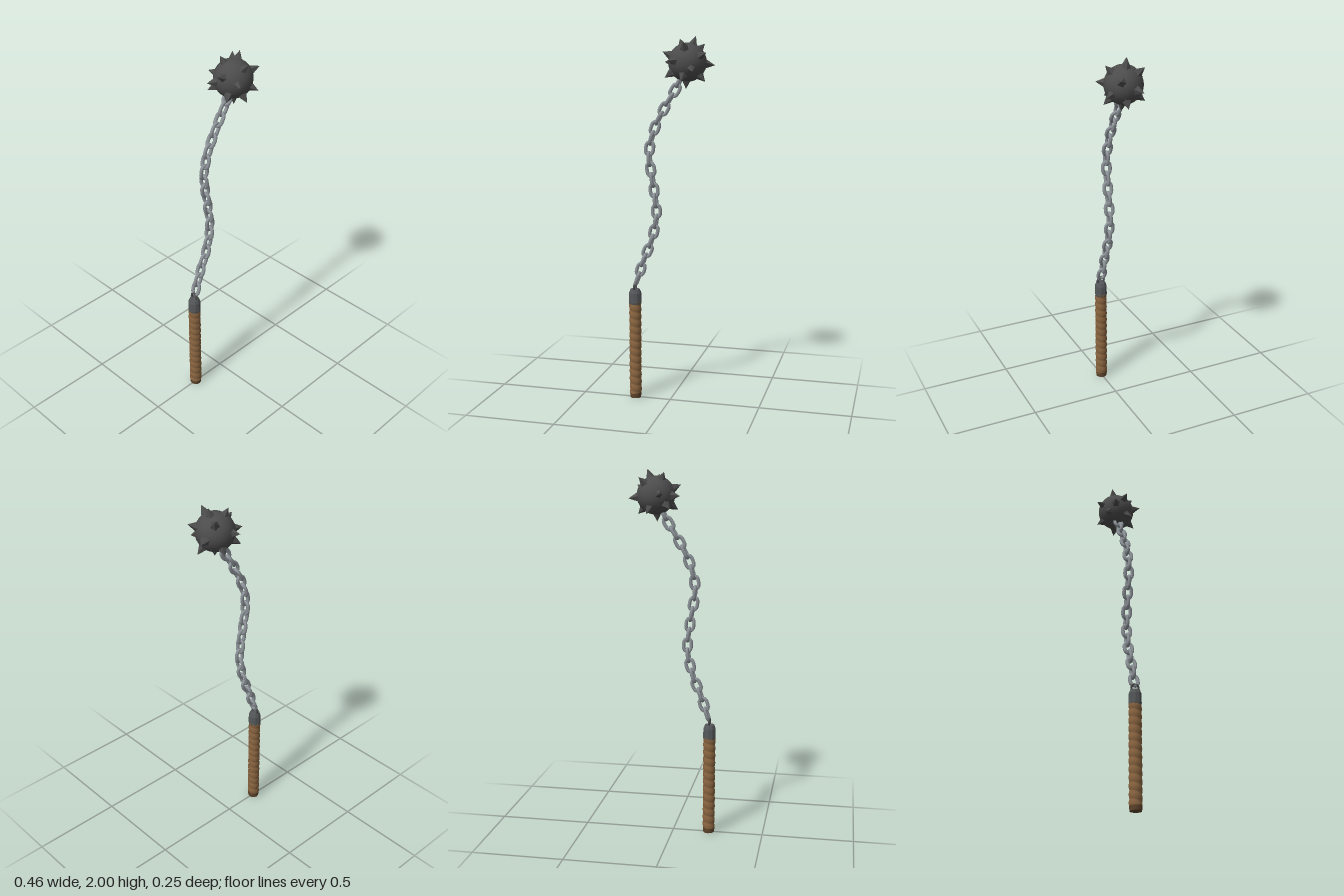
import * as THREE from 'three';

const mat = (color, flatShading = false) => new THREE.MeshStandardMaterial({ color, flatShading });
const wood = mat(0x8a6540), darkWood = mat(0x5f452d);
const iron = mat(0x4c4c4c), spikeIron = mat(0x4c4c4c, true), capIron = mat(0x55585a, true), steel = mat(0x8f959b);

function add(parent, name, geometry, material, x = 0, y = 0, z = 0) {
  const mesh = new THREE.Mesh(geometry, material);
  mesh.name = name;
  mesh.position.set(x, y, z);
  parent.add(mesh);
  return mesh;
}

// Oval chain link lying in the local XY plane, long axis along y
class OvalPath extends THREE.Curve {
  getPoint(t, target = new THREE.Vector3()) {
    const a = t * Math.PI * 2, r = 0.021;
    return target.set(Math.cos(a) * r, Math.sin(a) * r + 0.014 * Math.tanh(3 * Math.sin(a)), 0);
  }
}

// Grip with a wrapped strip winding up it as a helical ridge
function gripGeometry(height, pitch) {
  const g = new THREE.CylinderGeometry(0.031, 0.031, height, 20, 130, true);
  const p = g.attributes.position;
  for (let i = 0; i < p.count; i++) {
    const x = p.getX(i), y = p.getY(i), z = p.getZ(i);
    const turn = y / pitch + Math.atan2(x, z) / (Math.PI * 2);
    const f = turn - Math.floor(turn);
    const s = (0.0295 + 0.0045 * Math.pow(Math.sin(Math.PI * f), 0.6)) / 0.031;
    p.setXYZ(i, x * s, y, z * s);
  }
  g.computeVertexNormals();
  return g;
}

function createHandle() {
  const handle = new THREE.Group();
  handle.name = 'handle';
  handle.position.x = -0.2;
  add(handle, 'grip', gripGeometry(0.53, 0.042), wood, 0, 0.29, 0);
  add(handle, 'pommel', new THREE.CylinderGeometry(0.033, 0.031, 0.03, 12), darkWood, 0, 0.015, 0);
  // Metal cap with a bevelled top
  const profile = [[0, 0.54], [0.033, 0.54], [0.035, 0.55], [0.034, 0.602], [0.026, 0.624], [0, 0.624]];
  add(handle, 'cap', new THREE.LatheGeometry(profile.map(([r, y]) => new THREE.Vector2(r, y)), 10), capIron);
  // Staple ring that holds the chain
  const ring = add(handle, 'capRing', new THREE.TorusGeometry(0.02, 0.006, 6, 14), iron, 0, 0.637, 0);
  ring.rotation.y = Math.PI / 2;
  return handle;
}

function createChain() {
  const chain = new THREE.Group();
  chain.name = 'chain';
  const path = new THREE.CatmullRomCurve3([
    [-0.185, 0.683], [-0.148, 0.794], [-0.106, 0.9], [-0.077, 1.042], [-0.09, 1.18],
    [-0.116, 1.381], [-0.085, 1.513], [-0.032, 1.619], [0.026, 1.714],
  ].map(([x, y]) => new THREE.Vector3(x, y, 0)));
  const linkGeometry = new THREE.TubeGeometry(new OvalPath(), 18, 0.01, 6, true);
  const count = 20;
  // Links alternate by a quarter turn about the path
  for (let i = 0; i < count; i++) {
    const at = path.getPointAt(i / (count - 1)), dir = path.getTangentAt(i / (count - 1));
    const link = add(chain, 'link', linkGeometry, steel, at.x, at.y, 0);
    link.rotation.set(0, i % 2 ? 0 : Math.PI / 2, Math.atan2(-dir.x, dir.y), 'ZYX');
  }
  const last = add(chain, 'ballLink', linkGeometry, steel, 0.052, 1.765, 0);
  last.rotation.set(0, Math.PI / 2, -0.48, 'ZYX');
  return chain;
}

function createBall() {
  const ball = new THREE.Group();
  ball.name = 'spikedBall';
  ball.position.set(0.093, 1.86, 0);
  add(ball, 'ball', new THREE.SphereGeometry(0.101, 24, 16), iron);
  // Tips of the five-sided spikes, relative to the ball's centre
  const tips = [
    [0.045, 0.135, 0], [-0.05, 0.12, -0.04], [0, 0.105, 0.1], [0.075, 0.095, -0.08],
    [-0.045, 0.015, -0.13], [-0.135, 0, -0.05], [-0.13, 0.055, 0.02], [-0.11, -0.08, 0.06],
    [-0.075, 0.01, 0.12], [0.055, -0.045, 0.12], [0.115, 0.05, 0.07], [0.138, -0.016, -0.046],
    [0.1, -0.1, 0.02], [-0.005, -0.138, 0.01], [-0.01, -0.095, 0.106], [0.03, -0.09, -0.105],
    [-0.09, -0.065, -0.09],
  ];
  const up = new THREE.Vector3(0, 1, 0);
  const spikeGeometry = new THREE.ConeGeometry(0.029, 0.055, 5);
  for (const tip of tips) {
    const dir = new THREE.Vector3(...tip);
    const reach = THREE.MathUtils.clamp(dir.length(), 0.138, 0.146);
    dir.normalize();
    const spike = add(ball, 'spike', spikeGeometry, spikeIron);
    spike.position.copy(dir).multiplyScalar(reach - 0.0275);
    spike.quaternion.setFromUnitVectors(up, dir);
  }
  return ball;
}

export function createModel() {
  const model = new THREE.Group();
  model.name = 'flail';
  model.add(createHandle(), createChain(), createBall());
  return model;
}
